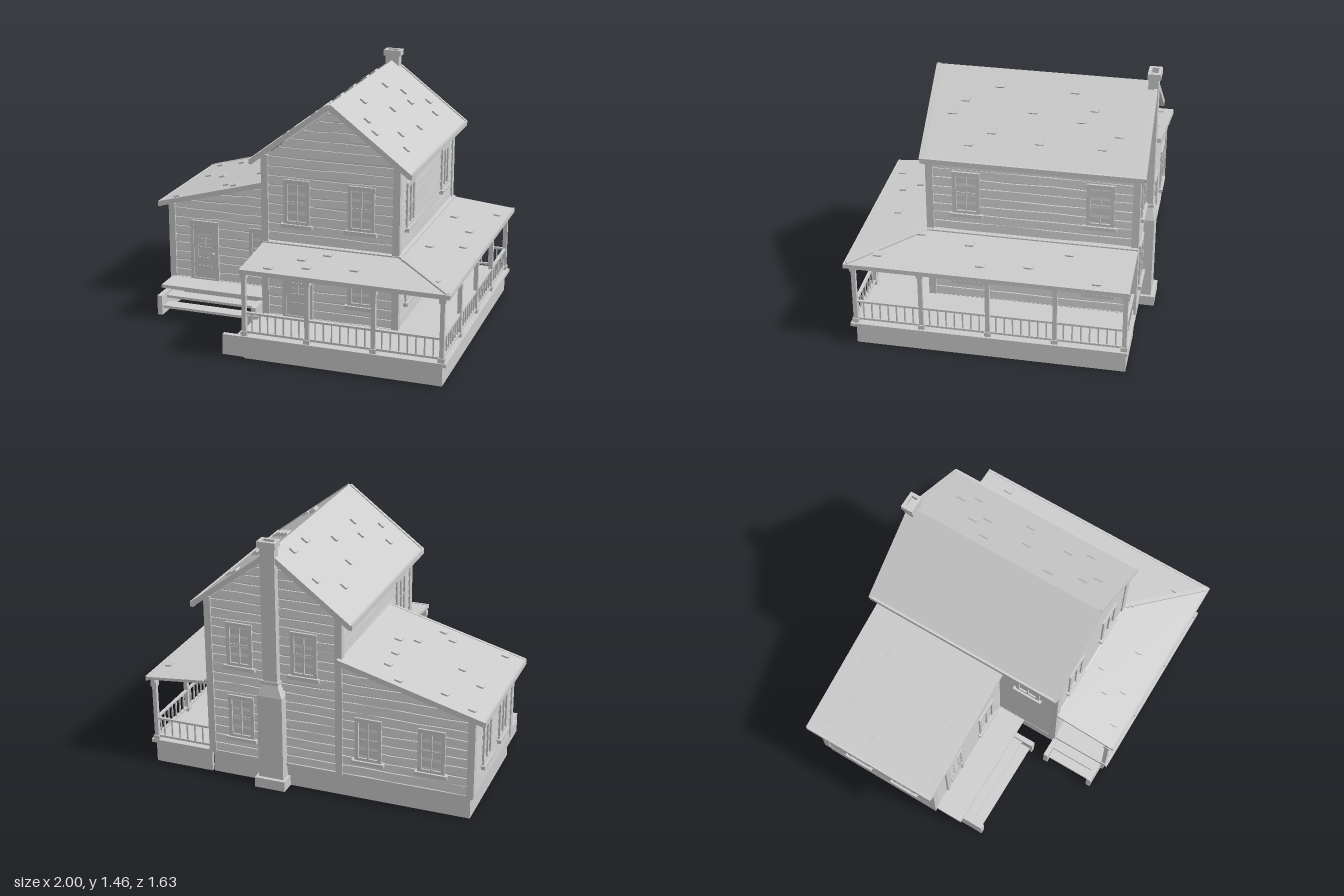
import * as THREE from 'three';

const mat = new THREE.MeshStandardMaterial({ color: 0xcccccc, flatShading: true });
const V = (x, y, z) => new THREE.Vector3(x, y, z);
let seed = 7;
const rnd = () => ((seed = (seed * 16807) % 2147483647) / 2147483647);

function add(parent, geo, name) {
  const m = new THREE.Mesh(geo, mat);
  m.name = name;
  parent.add(m);
  return m;
}
function group(parent, name) {
  const g = new THREE.Group();
  g.name = name;
  parent.add(g);
  return g;
}
// Box given by its minimum and maximum on each axis
function block(p, name, x0, x1, y0, y1, z0, z1) {
  const m = add(p, new THREE.BoxGeometry(x1 - x0, y1 - y0, z1 - z0), name);
  m.position.set((x0 + x1) / 2, (y0 + y1) / 2, (z0 + z1) / 2);
  return m;
}
// Straight timber from a to b
function bar(p, name, a, b, w, h) {
  const m = add(p, new THREE.BoxGeometry(w, h, a.distanceTo(b)), name);
  m.position.copy(a).add(b).multiplyScalar(0.5);
  m.lookAt(b);
  return m;
}
// Profile in x and y, extruded from z0 to z1
function prism(p, name, pts, z0, z1) {
  const s = new THREE.Shape(pts.map(q => new THREE.Vector2(q[0], q[1])));
  const m = add(p, new THREE.ExtrudeGeometry(s, { depth: z1 - z0, bevelEnabled: false }), name);
  m.position.z = z0;
  return m;
}
// L-shaped band round the front and +x side of the house; d0 and d1 are distances from its walls
const HX = 0.605, HZ = 0.42;
function lBand(p, name, d0, d1, inY, outY, left = -0.18, back = -0.74) {
  const stations = [d => [left, HZ + d], d => [HX + d, HZ + d], d => [HX + d, back]];
  const rings = stations.map(f => [[d0, inY[1]], [d1, outY[1]], [d1, outY[0]], [d0, inY[0]]]
    .map(([d, y]) => [f(d)[0], y, f(d)[1]]));
  const pos = [];
  const quad = (a, b, c, d) => pos.push(...a, ...b, ...c, ...a, ...c, ...d);
  for (let s = 0; s < 2; s++) for (let k = 0; k < 4; k++) {
    const n = (k + 1) % 4;
    quad(rings[s][k], rings[s][n], rings[s + 1][n], rings[s + 1][k]);
  }
  quad(...[...rings[0]].reverse());
  quad(...rings[2]);
  const g = new THREE.BufferGeometry();
  g.setAttribute('position', new THREE.Float32BufferAttribute(pos, 3));
  g.computeVertexNormals();
  return add(p, g, name);
}
// Uneven lapped boards; range(y) gives the wall's extent at that height
function siding(wall, y0, y1, range) {
  const n = Math.round((y1 - y0) / 0.056), h = (y1 - y0) / n, seg = 5;
  for (let i = 0; i < n; i++) {
    const lo = y0 + i * h, hi = lo + h, a = range(lo), b = range(hi);
    const jit = [0, 1].map(() => Array.from({ length: seg + 1 }, () => 0.001 + 0.008 * rnd()));
    const g = new THREE.BoxGeometry(1, 1, 1, seg, 1, 1), P = g.attributes.position;
    for (let k = 0; k < P.count; k++) {
      const t = P.getX(k) + 0.5, top = P.getY(k) > 0, r = top ? b : a;
      const j = jit[top ? 1 : 0][Math.round(t * seg)];
      P.setXYZ(k, r[0] + (r[1] - r[0]) * t, top ? hi - j : lo + j,
        P.getZ(k) > 0 ? (top ? 0.009 : 0.014) : -0.004);
    }
    g.computeVertexNormals();
    add(wall, g, 'sidingBoard');
  }
}
function rectPath(T, x0, x1, y0, y1) {
  const s = new T();
  s.moveTo(x0, y0); s.lineTo(x1, y0); s.lineTo(x1, y1); s.lineTo(x0, y1); s.closePath();
  return s;
}
// Framed window with two tall sashes, standing on a sill
function windowAt(wall, u, y) {
  const g = group(wall, 'window');
  g.position.set(u, y, 0);
  const s = rectPath(THREE.Shape, -0.077, 0.077, 0, 0.26);
  for (const x of [-0.055, 0.004]) s.holes.push(rectPath(THREE.Path, x, x + 0.051, 0.02, 0.236));
  add(g, new THREE.ExtrudeGeometry(s, { depth: 0.022, bevelEnabled: false }), 'windowFrame');
  block(g, 'windowPane', -0.06, 0.06, 0.015, 0.24, 0, 0.012);
  block(g, 'windowCrossBar', -0.06, 0.06, 0.125, 0.133, 0, 0.016);
  block(g, 'windowSill', -0.092, 0.092, -0.018, 0.004, 0, 0.034);
}
// Door with arched light, lower panel and knob
function doorAt(wall, u) {
  const g = group(wall, 'door');
  g.position.set(u, 0.14, 0);
  const s = rectPath(THREE.Shape, -0.09, 0.09, 0, 0.37);
  s.holes.push(rectPath(THREE.Path, -0.07, 0.07, 0.01, 0.35));
  add(g, new THREE.ExtrudeGeometry(s, { depth: 0.024, bevelEnabled: false }), 'doorFrame');
  const leaf = rectPath(THREE.Shape, -0.07, 0.07, 0.01, 0.35);
  const arch = new THREE.Path();
  arch.moveTo(-0.042, 0.14); arch.lineTo(0.042, 0.14); arch.lineTo(0.042, 0.27);
  arch.absarc(0, 0.27, 0.042, 0, Math.PI, false);
  leaf.holes.push(arch);
  add(g, new THREE.ExtrudeGeometry(leaf, { depth: 0.018, bevelEnabled: false, curveSegments: 8 }), 'doorLeaf');
  block(g, 'doorGlass', -0.05, 0.05, 0.13, 0.32, 0, 0.013);
  block(g, 'doorMullion', -0.005, 0.005, 0.14, 0.312, 0, 0.018);
  for (const y of [0.195, 0.25]) block(g, 'doorMuntin', -0.042, 0.042, y, y + 0.01, 0, 0.018);
  block(g, 'doorPanel', -0.04, 0.04, 0.05, 0.09, 0, 0.022);
  add(g, new THREE.SphereGeometry(0.009, 8, 6), 'doorKnob').position.set(0.058, 0.17, 0.026);
}
// Loose roof tiles: down is the downhill direction, spots lie on the roof surface
const tileShape = new THREE.Shape();
tileShape.moveTo(-0.026, 0.02); tileShape.lineTo(-0.026, -0.012);
tileShape.quadraticCurveTo(-0.025, -0.022, -0.015, -0.022); tileShape.lineTo(0.015, -0.022);
tileShape.quadraticCurveTo(0.025, -0.022, 0.026, -0.012); tileShape.lineTo(0.026, 0.02);
const tileGeo = new THREE.ExtrudeGeometry(tileShape, { depth: 0.011, bevelEnabled: false, curveSegments: 3 });
function tiles(p, down, height, spots) {
  const up = down.clone().normalize().negate();
  const side = V(0, 1, 0).cross(up).normalize().negate();
  const nrm = side.clone().cross(up);
  if (nrm.y < 0) { nrm.negate(); side.negate(); }
  const q = new THREE.Quaternion().setFromRotationMatrix(new THREE.Matrix4().makeBasis(side, up, nrm));
  for (const [x, z] of spots) {
    const m = add(p, tileGeo, 'roofTile');
    m.position.set(x, height(x, z) - 0.002, z);
    m.quaternion.copy(q);
  }
}

export function createModel() {
  const root = new THREE.Group();
  root.name = 'cabin';
  const CX = 0.2125, K = 0.766, L = -0.17, R = 0.595, F = 0.42, B = -0.72, WL = -0.92, WF = 0.035;
  const wingTop = x => 0.585 + (x + 1) * 0.275;

  // Wall cores
  const walls = group(root, 'walls');
  prism(walls, 'mainWalls', [[L, 0.12], [R, 0.12], [R, 1.07], [CX, 1.36], [L, 1.07]], B, F);
  prism(walls, 'wingWalls', [[WL, 0.12], [L, 0.12], [L, wingTop(L)], [WL, wingTop(WL)]], B, WF);
  for (const [x, z] of [[L, F], [R, F], [R, B], [L, B]])
    block(walls, 'mainCornerPost', x - 0.02, x + 0.02, 0.13, 1.08, z - 0.02, z + 0.02);
  for (const z of [WF, B]) block(walls, 'wingCornerPost', WL - 0.02, WL + 0.02, 0.13, 0.6, z - 0.02, z + 0.02);

  // Siding, windows and doors, wall by wall
  const wall = (name, turn, x, z) => {
    const g = group(root, name);
    g.position.set(x, 0, z);
    g.rotation.y = turn;
    return g;
  };
  const gable = y => (y < 1.07 ? [L, R] : [CX - (1.36 - y) / K, CX + (1.36 - y) / K]);
  const shed = y => [Math.min(L - 0.02, Math.max(WL, -1 + (y - 0.585) / 0.275)), L];
  const flip = f => y => { const [a, b] = f(y); return [-b, -a]; };
  const H = Math.PI / 2;

  const front = wall('mainFrontWall', 0, 0, F);
  siding(front, 0.14, 1.35, gable);
  doorAt(front, 0.025);
  for (const [u, y] of [[0.02, 0.69], [0.395, 0.69], [0.395, 0.25]]) windowAt(front, u, y);
  const back = wall('mainBackWall', 2 * H, 0, B);
  siding(back, 0.14, 1.35, flip(gable));
  for (const [x, y] of [[0.03, 0.69], [0.41, 0.69], [0.41, 0.25]]) windowAt(back, -x, y);
  const left = wall('mainLeftWall', H, R, 0);
  siding(left, 0.14, 1.07, () => [-F, -B]);
  for (const z of [0.215, -0.525]) for (const y of [0.69, 0.25]) windowAt(left, -z, y);
  const right = wall('mainRightWall', -H, L, 0);
  siding(right, 0.14, 1.07, () => [B, F]);
  windowAt(right, 0.24, 0.69);

  const wFront = wall('wingFrontWall', 0, 0, WF);
  siding(wFront, 0.14, 0.8, shed);
  doorAt(wFront, -0.71);
  windowAt(wFront, -0.345, 0.24);
  const wBack = wall('wingBackWall', 2 * H, 0, B);
  siding(wBack, 0.14, 0.8, flip(shed));
  for (const x of [-0.34, -0.7]) windowAt(wBack, -x, 0.24);
  const wSide = wall('wingSideWall', -H, WL, 0);
  siding(wSide, 0.14, 0.59, () => [B, WF]);
  for (const z of [-0.48, -0.16]) windowAt(wSide, z, 0.24);

  // Main roof with rake and eave boards
  const roof = group(root, 'mainRoof');
  const rz0 = -0.765, rz1 = 0.45, E = 0.46, eave = 1.4 - K * E;
  prism(roof, 'roofSlopes', [[CX - E, eave - 0.03], [CX, 1.368], [CX + E, eave - 0.03],
    [CX + E, eave], [CX, 1.398], [CX - E, eave]], rz0, rz1);
  for (const s of [-1, 1]) {
    const x = CX + s * E;
    bar(roof, 'eaveBoard', V(x, eave - 0.012, rz0), V(x, eave - 0.012, rz1), 0.02, 0.03);
    for (const z of [rz0 + 0.004, rz1 - 0.004])
      bar(roof, 'rakeBoard', V(x, eave - 0.012, z), V(CX, 1.386, z), 0.02, 0.03);
  }
  const mainH = x => 1.4 - K * Math.abs(x - CX);
  tiles(roof, V(1, -K, 0), mainH, [[0.083, 1.34], [0.26, 1.28], [0.32, 1.23], [-0.12, 1.255], [-0.33, 1.34],
    [-0.45, 1.28], [-0.39, 1.235], [-0.6, 1.195], [0.087, 1.17], [0.2, 1.12], [-0.18, 1.145], [-0.52, 1.145]]
    .map(([z, y]) => [CX + (1.4 - y) / K, z]));
  tiles(roof, V(-1, -K, 0), mainH, [[-0.01, -0.645], [0.15, -0.57], [-0.11, -0.49], [0.15, -0.4], [-0.05, -0.255],
    [0.07, -0.165], [0, 0.075], [0.07, 0.135], [-0.11, 0.24], [-0.03, 0.33]]);

  // Lean-to roof over the wing
  const wRoof = group(root, 'wingRoof');
  prism(wRoof, 'wingRoofSlope', [[-0.99, wingTop(-0.99)], [L, wingTop(L)], [L, wingTop(L) + 0.025],
    [-0.99, wingTop(-0.99) + 0.025]], -0.765, 0.075);
  bar(wRoof, 'wingEaveBoard', V(-0.99, 0.598, -0.765), V(-0.99, 0.598, 0.075), 0.02, 0.03);
  for (const z of [-0.76, 0.07])
    bar(wRoof, 'wingRakeBoard', V(-0.99, 0.6, z), V(L - 0.01, wingTop(L) + 0.009, z), 0.018, 0.03);
  tiles(wRoof, V(-1, -0.275, 0), x => wingTop(x) + 0.025, [[-0.905, -0.685], [-0.5, -0.7], [-0.4, -0.585],
    [-0.87, -0.415], [-0.39, -0.44], [-0.74, -0.32], [-0.445, -0.215], [-0.355, -0.28], [-0.6, -0.055],
    [-0.89, 0.02], [-0.53, 0], [-0.74, -0.64]]);

  // Wraparound porch: roof, deck and skirt
  const porch = group(root, 'porch');
  lBand(porch, 'porchRoof', -0.01, 0.395, [0.555, 0.572], [0.515, 0.532]);
  lBand(porch, 'porchRoofEdge', 0.382, 0.395, [0.51, 0.536], [0.51, 0.536]);
  lBand(porch, 'porchBeam', 0.338, 0.362, [0.498, 0.525], [0.498, 0.522]);
  lBand(porch, 'wallPlate', -0.01, 0.025, [0.55, 0.582], [0.55, 0.576]);
  bar(porch, 'hipRidge', V(0.62, 0.574, 0.435), V(0.985, 0.536, 0.8), 0.025, 0.012);
  const fall = 0.04 / 0.405;
  const porchH = (x, z) => 0.572 - fall * (Math.max(x - HX, z - HZ) + 0.01);
  tiles(porch, V(0, -fall, 1), porchH, [[0.23, 0.51], [0.11, 0.6], [0.17, 0.69], [0.43, 0.65], [-0.03, 0.745]]);
  tiles(porch, V(1, -fall, 0), porchH, [[0.66, 0.46], [0.88, 0.65], [0.885, 0.08], [0.715, -0.38],
    [0.855, -0.18], [0.715, 0.175], [0.935, -0.56]]);
  lBand(porch, 'porchDeck', -0.01, 0.378, [0.12, 0.14], [0.12, 0.14]);
  lBand(porch, 'porchSkirt', 0.33, 0.352, [0, 0.12], [0, 0.12], -0.17, -0.73);
  block(porch, 'porchSkirtEnd', -0.17, -0.15, 0, 0.12, HZ, HZ + 0.34);
  block(porch, 'porchSkirtEnd', HX, HX + 0.34, 0, 0.12, -0.73, -0.71);

  // Porch posts and railings
  const px = 0.953, pz = 0.772;
  const frontPosts = [-0.165, 0.2, 0.575, px].map(x => [x, pz]);
  const sidePosts = [0.4, 0.03, -0.34, -0.72].map(z => [px, z]);
  const line = [...frontPosts, ...sidePosts];
  for (const [x, z] of line) {
    block(porch, 'porchPost', x - 0.012, x + 0.012, 0.14, 0.51, z - 0.012, z + 0.012);
    block(porch, 'postBase', x - 0.018, x + 0.018, 0.14, 0.165, z - 0.018, z + 0.018);
    block(porch, 'postCap', x - 0.018, x + 0.018, 0.475, 0.505, z - 0.018, z + 0.018);
  }
  line.push([HX + 0.01, -0.72]);
  for (let i = 0; i + 1 < line.length; i++) {
    const a = V(line[i][0], 0, line[i][1]), b = V(line[i + 1][0], 0, line[i + 1][1]);
    for (const y of [0.162, 0.272]) bar(porch, 'rail', a.clone().setY(y), b.clone().setY(y), 0.016, 0.012);
    const n = Math.round(a.distanceTo(b) / 0.047);
    for (let k = 1; k < n; k++) {
      const p = a.clone().lerp(b, k / n);
      block(porch, 'baluster', p.x - 0.004, p.x + 0.004, 0.162, 0.272, p.z - 0.004, p.z + 0.004);
    }
  }

  // Hollow foundation under both parts of the house
  const base = group(root, 'foundation');
  const T = 0.02;
  block(base, 'foundationBack', WL, R, 0, 0.13, B - 0.005, B + T);
  block(base, 'foundationLeft', R - T, R, 0, 0.13, B, F);
  block(base, 'foundationFront', L, R, 0, 0.13, F - T, F);
  block(base, 'foundationStep', L, L + T, 0, 0.13, WF, F);
  block(base, 'foundationWingFront', WL, L, 0, 0.13, WF - T, WF);
  block(base, 'foundationWingSide', WL, WL + T, 0, 0.13, B, WF);
  block(base, 'wallSill', WL - 0.015, L, 0.125, 0.142, B - 0.018, WF + 0.018);
  block(base, 'wallSill', L - 0.015, R + 0.015, 0.125, 0.142, B - 0.018, F + 0.018);

  // Wing landing with wide front steps, and the steps at the porch end
  const steps = group(root, 'steps');
  block(steps, 'landing', -0.925, L, 0.12, 0.14, WF, 0.22);
  for (const x of [-0.895, -0.3]) block(steps, 'stepCheek', x, x + 0.03, 0, 0.12, WF, 0.345);
  block(steps, 'upperTread', -0.87, -0.29, 0.085, 0.1, 0.19, 0.275);
  block(steps, 'lowerTread', -0.87, -0.29, 0.04, 0.055, 0.25, 0.33);
  for (const z of [0.43, 0.73]) block(steps, 'porchStepCheek', -0.305, -0.17, 0, 0.12, z, z + 0.028);
  block(steps, 'porchUpperTread', -0.235, -0.17, 0.085, 0.1, 0.45, 0.74);
  block(steps, 'porchLowerTread', -0.285, -0.215, 0.04, 0.055, 0.45, 0.74);

  // Chimney: plinth, broad stack, tapered shoulder, flue and cap
  const ch = group(root, 'chimney');
  const CH = 0.215;
  const stack = (name, w, y0, y1, z) => block(ch, name, CH - w, CH + w, y0, y1, z, -0.72);
  stack('chimneyPlinth', 0.09, 0, 0.06, -0.812);
  stack('chimneyStack', 0.073, 0.06, 0.56, -0.79);
  const shoulder = stack('chimneyShoulder', 0.073, 0.56, 0.63, -0.79).geometry.attributes.position;
  for (let i = 0; i < shoulder.count; i++) if (shoulder.getY(i) > 0)
    shoulder.setXYZ(i, shoulder.getX(i) * 0.6, shoulder.getY(i), Math.max(shoulder.getZ(i), -0.02));
  stack('chimneyCollar', 0.05, 0.63, 0.65, -0.78);
  stack('chimneyFlue', 0.042, 0.63, 1.43, -0.775);
  const cap = rectPath(THREE.Shape, -0.053, 0.053, -0.036, 0.036);
  cap.holes.push(rectPath(THREE.Path, -0.034, 0.034, -0.018, 0.018));
  const capMesh = add(ch, new THREE.ExtrudeGeometry(cap, { depth: 0.035, bevelEnabled: false }), 'chimneyCap');
  capMesh.rotation.x = -H;
  capMesh.position.set(CH, 1.425, -0.751);
  return root;
}
